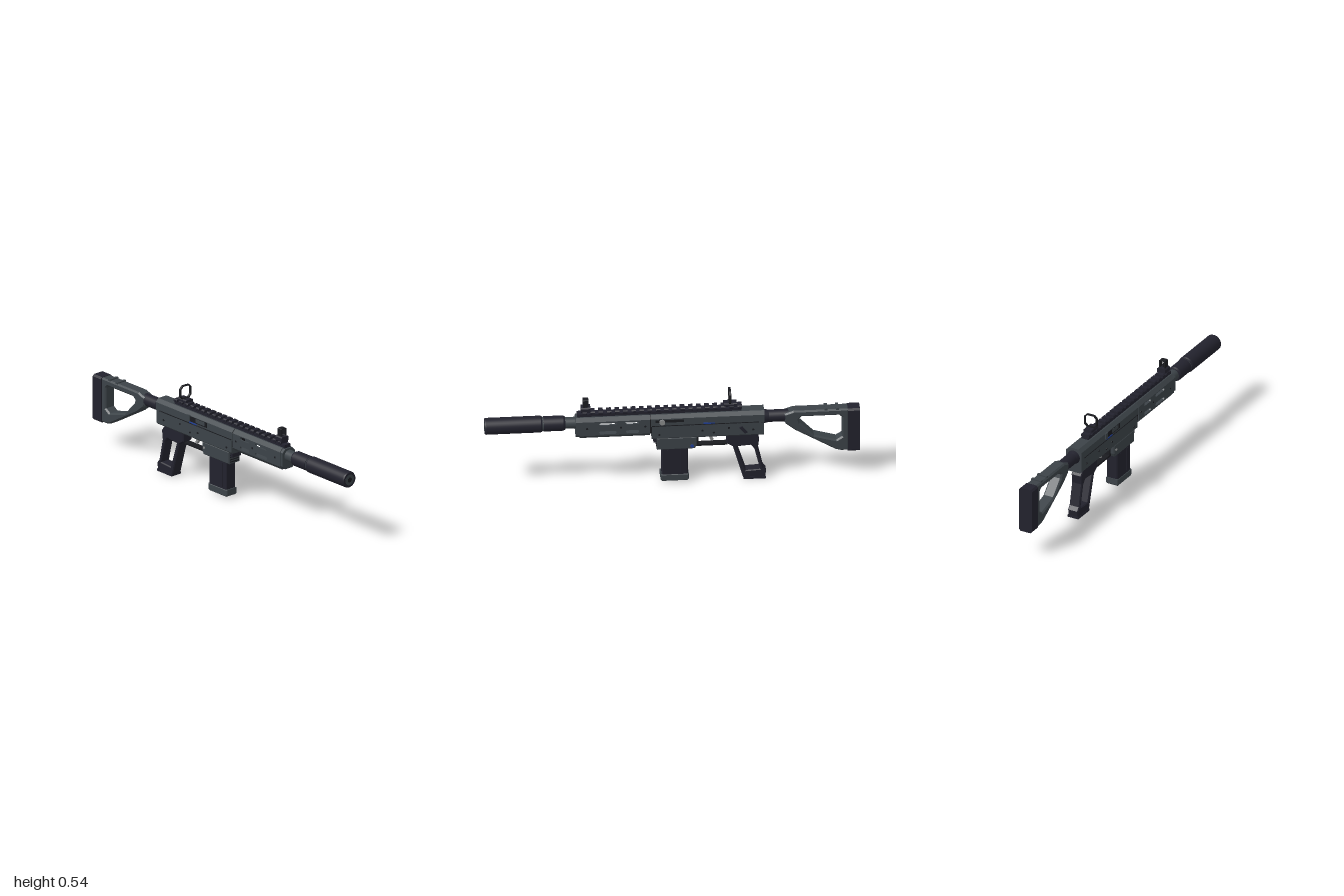
import * as THREE from 'three';

const paint = (name, color) => {
  const m = new THREE.MeshStandardMaterial({ color });
  m.name = name;
  return m;
};

export function createModel() {
  const gray = paint('gunmetal', 0x3c4348);
  const black = paint('black polymer', 0x22222d);
  const dark = paint('dark steel', 0x1a1b20);
  const silver = paint('bare steel', 0x8a8b8c);
  const blue = paint('blue mark', 0x1f3f9a);

  const root = new THREE.Group();
  root.name = 'rifle';
  const body = new THREE.Group();
  body.name = 'rifleBody';
  body.position.z = 0.008;
  root.add(body);

  const add = (name, geo, mat, parent = body) => {
    const m = new THREE.Mesh(geo, mat);
    m.name = name;
    parent.add(m);
    return m;
  };
  const v2 = (pts) => pts.map(([a, b]) => new THREE.Vector2(a, b));
  const shapeOf = (pts, holes = []) => {
    const s = new THREE.Shape(v2(pts));
    holes.forEach((h) => s.holes.push(new THREE.Path(v2(h))));
    return s;
  };
  // cross-section in z,y swept along x
  const prism = (name, mat, pts, x0, x1, holes) => {
    const g = new THREE.ExtrudeGeometry(shapeOf(pts, holes), { depth: x1 - x0, bevelEnabled: false });
    g.rotateY(Math.PI / 2).translate(x0, 0, 0);
    return add(name, g, mat);
  };
  // side outline in x,y swept along z, with optional chamfer
  const plate = (name, mat, pts, z0, z1, holes, bevel = 0) => {
    const g = new THREE.ExtrudeGeometry(shapeOf(pts, holes), {
      depth: z1 - z0 - 2 * bevel, bevelEnabled: bevel > 0, bevelThickness: bevel,
      bevelSize: bevel, bevelOffset: -bevel, bevelSegments: 1,
    });
    return add(name, g.translate(0, 0, z0 + bevel), mat);
  };
  const box = (name, mat, x0, x1, y0, y1, z0, z1) => {
    const g = new THREE.BoxGeometry(x1 - x0, y1 - y0, z1 - z0);
    return add(name, g.translate((x0 + x1) / 2, (y0 + y1) / 2, (z0 + z1) / 2), mat);
  };
  // rectangle with cut corners: half width, bottom, top, lower and upper cut
  const cut = (w, y0, y1, c0, c1 = c0) => [
    [-w + c0, y0], [w - c0, y0], [w, y0 + c0], [w, y1 - c1],
    [w - c1, y1], [-w + c1, y1], [-w, y1 - c1], [-w, y0 + c0],
  ];
  // turned part along x from [x, radius] points
  const turned = (name, mat, pts, y, seg = 32) => {
    pts.forEach(([x0, r0], i) => {
      if (i === pts.length - 1) return;
      const [x1, r1] = pts[i + 1];
      const g = new THREE.CylinderGeometry(r1, r0, Math.max(x1 - x0, 0.0001), seg, 1, false);
      g.rotateZ(-Math.PI / 2).translate((x0 + x1) / 2, y, 0);
      add(name, g, mat);
    });
  };
  const pin = (name, mat, x, y, z, r, len, seg = 12) =>
    add(name, new THREE.CylinderGeometry(r, r, len, seg).rotateX(Math.PI / 2).translate(x, y, z), mat);

  // stock with open triangle, butt pad and buffer tube
  plate('stock', gray, [[-0.94, 0.15], [-0.9, 0.15], [-0.87, 0.158], [-0.655, 0.285], [-0.605, 0.326],
    [-0.597, 0.34], [-0.597, 0.385], [-0.645, 0.402], [-0.94, 0.402]], -0.034, 0.034,
  [[[-0.905, 0.235], [-0.875, 0.216], [-0.755, 0.25], [-0.68, 0.328], [-0.674, 0.35],
    [-0.69, 0.366], [-0.89, 0.366], [-0.905, 0.352]]], 0.008);
  prism('buttPad', black, cut(0.04, 0.146, 0.404, 0.01), -1, -0.935);
  for (const x of [-0.88, -0.82]) box('stockRib', gray, x - 0.008, x + 0.008, 0.398, 0.408, -0.03, 0.03);
  turned('bufferTube', black, [[-0.62, 0.033], [-0.515, 0.033], [-0.49, 0.038]], 0.363, 24);

  // receiver
  prism('upperReceiver', gray, cut(0.047, 0.35, 0.415, 0.002, 0.018), -0.49, 0.115);
  prism('lowerReceiver', gray, cut(0.045, 0.272, 0.352, 0.008, 0.001), -0.487, 0.11);
  for (const s of [-1, 1]) {
    box('receiverSeam', dark, -0.46, 0.11, 0.353, 0.357, s * 0.0474 - 0.001, s * 0.0474 + 0.001);
    for (const [x, y] of [[-0.43, 0.31], [-0.22, 0.3], [-0.16, 0.315], [0.07, 0.3], [-0.3, 0.325]])
      pin('receiverPin', dark, x, y, s * 0.045, 0.006, 0.003);
    box('blueMark', blue, -0.225, -0.165, 0.357, 0.364, s * 0.048 - 0.001, s * 0.048 + 0.001);
  }
  box('ejectionPort', dark, -0.235, -0.085, 0.366, 0.395, 0.045, 0.0485);
  box('portDoor', gray, -0.17, -0.1, 0.372, 0.393, 0.047, 0.05);
  box('boltCatch', gray, -0.238, -0.215, 0.365, 0.4, 0.045, 0.0525);
  // charging handle and selector on the right-hand side
  box('handleSlot', dark, -0.06, 0.09, 0.375, 0.39, -0.0485, -0.045);
  pin('chargingStem', silver, 0.056, 0.385, -0.053, 0.008, 0.02);
  pin('chargingKnob', silver, 0.056, 0.385, -0.063, 0.015, 0.01, 20);
  plate('selector', black, [[-0.4, 0.295], [-0.385, 0.29], [-0.355, 0.325], [-0.37, 0.333]], -0.053, -0.044);

  // handguard: hollow shell with slotted cheeks
  const slot = (x0, x1, y) => cut((x1 - x0) / 2, y - 0.009, y + 0.009, 0.006)
    .map(([a, b]) => [a + (x0 + x1) / 2, b]);
  const slots = [0.382, 0.328].flatMap((y) => [slot(0.178, 0.25, y), slot(0.298, 0.392, y)]);
  for (const z of [-0.046, 0.036])
    plate('handguardCheek', gray, [[0.12, 0.312], [0.495, 0.312], [0.495, 0.395], [0.12, 0.395]], z, z + 0.01, slots);
  prism('handguardTop', gray, [[-0.046, 0.395], [0.046, 0.395], [0.028, 0.415], [-0.028, 0.415]], 0.12, 0.495);
  prism('handguardBottom', gray, [[-0.03, 0.293], [0.03, 0.293], [0.046, 0.312], [-0.046, 0.312]], 0.12, 0.495);
  prism('handguardCap', gray, cut(0.043, 0.298, 0.412, 0.018), 0.49, 0.514);
  prism('handguardJoint', dark, cut(0.042, 0.3, 0.41, 0.015), 0.105, 0.125);
  for (const s of [-1, 1]) for (const x of [0.145, 0.275, 0.455])
    pin('handguardScrew', dark, x, 0.355, s * 0.046, 0.006, 0.002);

  // barrel, adapter and suppressor
  turned('barrel', gray, [[0.51, 0.031], [0.575, 0.031]], 0.372);
  turned('adapter', black, [[0.57, 0.036], [0.58, 0.041], [0.685, 0.041]], 0.372);
  turned('adapterRing', gray, [[0.684, 0.038], [0.694, 0.038]], 0.372);
  turned('suppressor', black, [[0.692, 0.041], [0.7, 0.045], [0.992, 0.045], [0.998, 0.041]], 0.372);
  turned('muzzleFace', gray, [[0.99, 0.03], [0.999, 0.03]], 0.372);
  turned('bore', dark, [[0.99, 0.014], [1, 0.014]], 0.372, 20);

  // top rail
  box('railBase', black, -0.37, 0.505, 0.413, 0.431, -0.021, 0.021);
  for (let x = -0.36; x < 0.495; x += 0.0435)
    prism('railTooth', black, cut(0.025, 0.426, 0.445, 0.005), x - 0.012, x + 0.012);

  // rear ring sight
  prism('rearSightBase', black, cut(0.024, 0.44, 0.46, 0.004), -0.345, -0.275);
  prism('rearSightRing', dark, cut(0.039, 0.458, 0.535, 0.016), -0.314, -0.302, [cut(0.033, 0.464, 0.529, 0.014)]);

  // front post sight
  prism('frontSightBase', black, cut(0.025, 0.44, 0.47, 0.006), 0.435, 0.485);
  prism('frontSightFrame', dark, cut(0.018, 0.465, 0.513, 0.003), 0.445, 0.475, [cut(0.0135, 0.47, 0.508, 0.002)]);
  add('frontSightPost', new THREE.CylinderGeometry(0.001, 0.005, 0.03, 8).translate(0.46, 0.483, 0), dark);

  // magazine well and magazine
  plate('magazineWell', gray, [[-0.13, 0.225], [-0.12, 0.205], [0.083, 0.205], [0.083, 0.275], [-0.13, 0.275]],
    -0.041, 0.041, [], 0.004);
  for (let i = 0; i < 4; i++)
    box('wellGroove', dark, 0.08, 0.0845, 0.213 + i * 0.013, 0.218 + i * 0.013, -0.032, 0.032);
  box('wellFrontLug', black, 0.08, 0.1, 0.245, 0.275, -0.03, 0.03);
  pin('magazineRelease', blue, -0.105, 0.222, -0.042, 0.009, 0.006);
  pin('magazineReleaseButton', silver, -0.112, 0.245, 0.042, 0.007, 0.006);
  plate('magazine', black, [[-0.083, 0.04], [0.056, 0.04], [0.056, 0.21], [-0.083, 0.21]], -0.033, 0.033, [], 0.005);
  for (const s of [-1, 1]) for (const x of [-0.05, 0.02])
    box('magazineRib', black, x - 0.008, x + 0.008, 0.06, 0.195, s * 0.033 - 0.002, s * 0.033 + 0.002);
  plate('magazineFoot', gray, [[-0.088, 0.018], [-0.08, 0.01], [0.054, 0.01], [0.062, 0.018],
    [0.062, 0.05], [-0.088, 0.05]], -0.036, 0.036, [], 0.004);

  // skeleton grip
  plate('grip', black, [[-0.494, 0], [-0.382, 0], [-0.376, 0.015], [-0.323, 0.2], [-0.29, 0.222],
    [-0.29, 0.275], [-0.44, 0.275], [-0.463, 0.24], [-0.457, 0.19], [-0.484, 0.065], [-0.5, 0.045]],
  -0.031, 0.031, [[[-0.468, 0.056], [-0.392, 0.052], [-0.345, 0.2], [-0.42, 0.205], [-0.438, 0.18]]], 0.005);
  box('gripFoot', black, -0.498, -0.38, 0, 0.012, -0.033, 0.033);

  // trigger and guard
  box('triggerGuard', dark, -0.295, -0.125, 0.207, 0.217, -0.018, 0.018);
  box('guardFrontPost', dark, -0.14, -0.125, 0.207, 0.275, -0.018, 0.018);
  plate('trigger', silver, [[-0.222, 0.236], [-0.208, 0.23], [-0.2, 0.245], [-0.2, 0.275], [-0.215, 0.275],
    [-0.212, 0.25]], -0.008, 0.008);

  return root;
}
